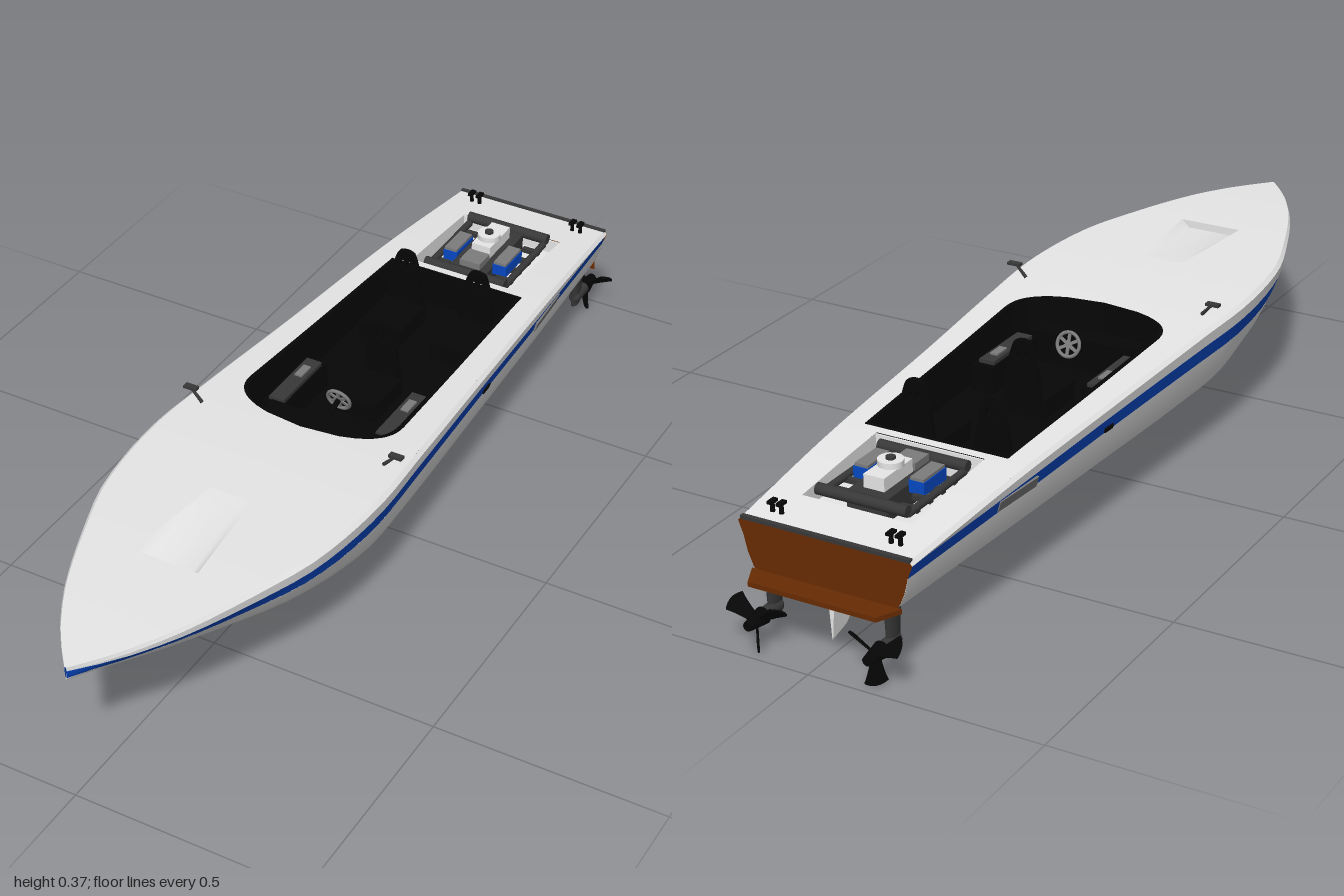
import * as THREE from 'three';

const mat = (name, color) => {
  const m = new THREE.MeshStandardMaterial({ color, side: THREE.DoubleSide });
  m.name = name;
  return m;
};

export function createModel() {
  const boat = new THREE.Group();
  boat.name = 'speedboat';
  const white = mat('white gelcoat', 0xf2f2f2), blue = mat('blue stripe', 0x0648c4);
  const black = mat('black trim', 0x060606), dark = mat('dark grey metal', 0x383838);
  const grey = mat('grey metal', 0x7c7c7c), wood = mat('brown wood', 0x682b03);

  const add = (name, geo, material, x = 0, y = 0, z = 0, parent = boat) => {
    const m = new THREE.Mesh(geo, material);
    m.name = name;
    m.position.set(x, y, z);
    parent.add(m);
    return m;
  };
  const box = (name, material, w, h, d, x, y, z, parent) =>
    add(name, new THREE.BoxGeometry(w, h, d), material, x, y, z, parent);
  const shapeOf = (pts) => new THREE.Shape(pts.map((p) => new THREE.Vector2(...p)));

  // Smooth interpolation through [z, value] pairs
  const curve = (pts) => (z) => {
    let i = 0;
    while (i < pts.length - 2 && z > pts[i + 1][0]) i++;
    const slope = (k) => {
      const a = pts[Math.max(k - 1, 0)], b = pts[Math.min(k + 1, pts.length - 1)];
      return (b[1] - a[1]) / (b[0] - a[0]);
    };
    const [z0, v0] = pts[i], [z1, v1] = pts[i + 1], d = z1 - z0;
    const t = Math.min(1, Math.max(0, (z - z0) / d)), u = 1 - t;
    return v0 * (1 + 2 * t) * u * u + slope(i) * d * t * u * u
      + v1 * t * t * (3 - 2 * t) - slope(i + 1) * d * t * t * u;
  };
  const width = curve([[-0.93, 0.19], [-0.6, 0.212], [-0.2, 0.236], [0.1, 0.256], [0.3, 0.266],
    [0.5, 0.245], [0.65, 0.197], [0.8, 0.136], [0.9, 0.08], [0.96, 0.036], [1, 0.002]]);
  const sheer = curve([[-0.93, 0.25], [-0.6, 0.28], [-0.2, 0.3], [0.2, 0.321], [0.5, 0.327], [0.8, 0.327], [1, 0.322]]);
  const stripeTop = curve([[-0.93, 0.24], [0, 0.278], [0.3, 0.288], [0.6, 0.298], [1, 0.313]]);
  const stripeLow = curve([[-0.93, 0.214], [0, 0.244], [0.3, 0.252], [0.6, 0.268], [1, 0.296]]);
  const stripeIn = curve([[-0.93, 0.945], [0.4, 0.945], [0.7, 0.88], [0.9, 0.74], [1, 0.55]]);
  const bottom = curve([[-0.93, 0.131], [-0.3, 0.131], [0.15, 0.132], [0.3, 0.143], [0.5, 0.17], [0.7, 0.212], [0.85, 0.25], [1, 0.291]]);
  const flat = curve([[-0.93, 0.68], [0.1, 0.68], [0.3, 0.62], [0.5, 0.42], [0.7, 0.25], [1, 0.12]]);
  const chine = curve([[-0.93, 0.84], [0.2, 0.84], [0.5, 0.75], [0.8, 0.58], [1, 0.35]]);

  // Surface through cross-sections spaced along z
  const loft = (name, material, z0, z1, section, n = 40) => {
    const pos = [], idx = [];
    let cols = 0;
    for (let i = 0; i <= n; i++) {
      const z = z0 + (z1 - z0) * i / n, pts = section(z);
      cols = pts.length;
      pts.forEach(([x, y]) => pos.push(x, y, z));
    }
    for (let i = 0; i < n; i++) for (let j = 0; j < cols - 1; j++) {
      const a = i * cols + j, b = a + cols;
      idx.push(a, a + 1, b, a + 1, b + 1, b);
    }
    const g = new THREE.BufferGeometry();
    g.setAttribute('position', new THREE.Float32BufferAttribute(pos, 3));
    g.setIndex(idx);
    g.computeVertexNormals();
    return add(name, g, material);
  };

  // Lower hull, from stripe to keel and up the other side
  const lower = (z) => {
    const w = width(z), b = bottom(z), h = stripeLow(z) - b, c = chine(z), f = flat(z), s = stripeIn(z);
    const half = [[w * s, b + h], [w * (c * 0.4 + s * 0.6), b + h * 0.6], [w * c, b + h * 0.25],
      [w * (c + f) / 2, b + h * 0.07], [w * f, b], [w * f / 2, b]];
    return [...half.map(([x, y]) => [-x, y]), [0, b], ...half.slice().reverse()];
  };
  loft('lowerHull', white, -0.93, 1, lower, 60);

  // Cockpit outline narrowing to a rounded front
  const cockpit = (z) => z > 0.04 ? 0.182 * Math.sqrt(Math.max(0, 1 - ((z - 0.04) / 0.11) ** 2.6))
    : 0.182 - (0.04 - z) * 0.035;
  // Foredeck duct, widening and deepening forward
  const duct = (z) => 0.048 + 0.1 * (z - 0.42);
  const floorY = 0.2;
  const deckParts = [[-0.93, -0.82, () => 0, 3], [-0.82, -0.56, () => 0.122, 6], [-0.56, -0.54, () => 0, 1],
    [-0.54, 0.15, cockpit, 70], [0.15, 0.42, () => 0, 14], [0.42, 0.66, duct, 12], [0.66, 1, () => 0, 20]];
  for (const s of [1, -1]) {
    loft('sideStripe', blue, -0.93, 1, (z) => [[s * width(z) * stripeIn(z), stripeLow(z)], [s * width(z) * 0.985, stripeTop(z)]]);
    loft('topside', white, -0.93, 1, (z) => [[s * width(z) * 0.985, stripeTop(z)], [s * width(z), sheer(z) - 0.008]]);
    loft('gunwale', white, -0.93, 1, (z) => [[s * width(z), sheer(z) - 0.008], [s * width(z) * 0.965, sheer(z)]]);
    for (const [a, b, inner, n] of deckParts)
      loft('deck', white, a, b, (z) => [[s * width(z) * 0.965, sheer(z)], [s * inner(z), sheer(z)]], n);
    loft('cockpitWall', black, -0.54, 0.15, (z) => [[s * cockpit(z), sheer(z) + 0.002], [s * cockpit(z) * 0.97, floorY]], 70);
    loft('cockpitRim', black, -0.54, 0.15, (z) => [[s * cockpit(z), sheer(z) + 0.002], [s * cockpit(z) * 0.95, sheer(z) + 0.002]], 70);
    loft('engineBayWall', white, -0.82, -0.56, (z) => [[s * 0.122, sheer(z)], [s * 0.122, 0.225]], 4);

    // Side vent and small side port
    const vent = box('sideVent', grey, 0.007, 0.024, 0.13, s * 0.205, 0.238, -0.58);
    vent.rotation.set(0, s * 0.07, -s * 0.3);
    const port = box('sidePort', black, 0.006, 0.01, 0.03, s * 0.224, 0.243, -0.25);
    port.rotation.set(0, s * 0.06, -s * 0.3);
    // Mirror on a slanted stalk
    const stalk = add('mirrorStalk', new THREE.CylinderGeometry(0.003, 0.004, 0.035, 8), dark, s * 0.225, 0.338, 0.185);
    stalk.rotation.z = -s * 0.75;
    box('mirrorHead', dark, 0.03, 0.006, 0.014, s * 0.24, 0.353, 0.183);
    // Stern cleats
    for (const x of [0.12, 0.14]) {
      add('cleatPost', new THREE.CylinderGeometry(0.004, 0.005, 0.02, 8), black, s * x, 0.264, -0.89);
      box('cleatTop', black, 0.011, 0.006, 0.022, s * x, 0.275, -0.89);
    }
    // Side consoles in the cockpit
    box('sideConsole', black, 0.05, 0.06, 0.19, s * 0.13, 0.23, -0.05);
    box('consolePanel', dark, 0.036, 0.008, 0.16, s * 0.128, 0.264, -0.05);
    box('consoleGauge', grey, 0.018, 0.006, 0.04, s * 0.128, 0.269, -0.08);
  }
  loft('cockpitFloor', black, -0.54, 0.15, (z) => [[cockpit(z), floorY], [-cockpit(z), floorY]], 70);
  box('cockpitBulkhead', black, 0.324, 0.088, 0.006, 0, 0.242, -0.537);
  const ductSection = (z) => {
    const y = sheer(z), x = duct(z), d = (z - 0.42) * 0.07;
    return [[x, y], [x - 0.018, y - d], [0, y - d], [0.018 - x, y - d], [-x, y]];
  };
  loft('foredeckDuct', white, 0.42, 0.66, ductSection, 12);
  add('ductFront', new THREE.ShapeGeometry(shapeOf(ductSection(0.66))), white, 0, 0, 0.66);

  // Transom, closing the stern, with trim and swim step
  const outline = [...lower(-0.93), [0.19, 0.242], [0.183, 0.25], [-0.183, 0.25], [-0.19, 0.242]];
  add('transom', new THREE.ShapeGeometry(shapeOf(outline)), wood, 0, 0, -0.931);
  box('sternTrim', dark, 0.37, 0.007, 0.01, 0, 0.25, -0.927);
  const step = shapeOf([[-0.165, 0.93], [-0.14, 0.98], [0.14, 0.98], [0.165, 0.93]]);
  const stepMesh = add('swimStep', new THREE.ExtrudeGeometry(step, { depth: 0.01, bevelEnabled: false }), wood, 0, 0.138, 0);
  stepMesh.rotation.x = -Math.PI / 2;

  // Seats with slotted, tapered backs
  const back = new THREE.Shape();
  back.moveTo(-0.048, 0);
  back.lineTo(-0.034, 0.11);
  back.quadraticCurveTo(-0.026, 0.15, -0.018, 0.164);
  back.quadraticCurveTo(0, 0.174, 0.018, 0.164);
  back.quadraticCurveTo(0.026, 0.15, 0.034, 0.11);
  back.lineTo(0.048, 0);
  for (const s of [1, -1])
    back.holes.push(shapeOf([[s * 0.004, 0.128], [s * 0.015, 0.128], [s * 0.012, 0.145], [s * 0.005, 0.145]]));
  for (const [x, z] of [[0, -0.205], [0.088, -0.475], [-0.088, -0.475]]) {
    const seat = new THREE.Group();
    seat.name = 'seat';
    seat.position.set(x, floorY, z);
    boat.add(seat);
    add('seatBack', new THREE.ExtrudeGeometry(back, { depth: 0.012, bevelEnabled: false }), black, 0, 0, 0, seat);
    box('seatCushion', black, 0.1, 0.04, 0.12, 0, 0.02, 0.07, seat);
  }

  // Dashboard and steering wheel
  box('dashboard', black, 0.26, 0.07, 0.05, 0, 0.24, 0.07);
  const wheel = new THREE.Group();
  wheel.name = 'steeringWheel';
  wheel.position.set(0, 0.285, -0.01);
  wheel.rotation.x = 0.3;
  boat.add(wheel);
  add('wheelRim', new THREE.TorusGeometry(0.026, 0.004, 8, 28), grey, 0, 0, 0, wheel);
  for (let i = 0; i < 3; i++) {
    const spoke = box('wheelSpoke', grey, 0.007, 0.05, 0.003, 0, 0, 0, wheel);
    spoke.rotation.z = i * Math.PI / 3;
  }
  const column = add('steeringColumn', new THREE.CylinderGeometry(0.006, 0.006, 0.06, 10), black, 0, 0, 0.033, wheel);
  column.rotation.x = Math.PI / 2;

  // Engine in its white-lined bay
  box('engineBayFloor', white, 0.244, 0.006, 0.26, 0, 0.225, -0.69);
  for (const [z, y] of [[-0.818, 0.242], [-0.562, 0.253]])
    box('engineBayEnd', white, 0.244, (y - 0.225) * 2, 0.004, 0, y, z);
  box('engineBlock', dark, 0.09, 0.05, 0.19, 0, 0.25, -0.69);
  box('intakeManifold', white, 0.046, 0.03, 0.1, 0, 0.288, -0.71);
  box('gearHousing', grey, 0.05, 0.02, 0.05, 0, 0.28, -0.63);
  const filter = add('airFilter', new THREE.CylinderGeometry(0.026, 0.026, 0.014, 20), white, 0, 0.308, -0.7);
  add('filterCap', new THREE.CylinderGeometry(0.01, 0.01, 0.006, 12), dark, 0, 0.009, 0, filter);
  for (const z of [-0.8, -0.585]) {
    const pipe = add('crossPipe', new THREE.CylinderGeometry(0.012, 0.012, 0.2, 14), dark, 0, 0.272, z);
    pipe.rotation.z = Math.PI / 2;
  }
  for (const s of [1, -1]) {
    box('rockerCover', blue, 0.034, 0.026, 0.08, s * 0.062, 0.272, -0.67);
    box('rockerLid', grey, 0.03, 0.006, 0.076, s * 0.062, 0.288, -0.67);
    const exhaust = add('exhaustPipe', new THREE.CylinderGeometry(0.008, 0.008, 0.2, 12), dark, s * 0.094, 0.262, -0.69);
    exhaust.rotation.x = Math.PI / 2;
    for (let i = 0; i < 4; i++) box('exhaustRunner', dark, 0.04, 0.01, 0.012, s * 0.078, 0.256, -0.76 + i * 0.045);
  }

  // Centre skeg, thinning downward
  const fin = shapeOf([[0.78, 0.135], [0.87, 0.045], [0.915, 0.032], [0.915, 0.135]]);
  const finGeo = new THREE.ExtrudeGeometry(fin, { depth: 0.016, bevelEnabled: false }).translate(0, 0, -0.008);
  const fp = finGeo.attributes.position;
  for (let i = 0; i < fp.count; i++) fp.setZ(i, fp.getZ(i) * (0.1 + (fp.getY(i) - 0.032) * 9));
  finGeo.computeVertexNormals();
  add('skeg', finGeo, white).rotation.y = Math.PI / 2;

  // Two drives with three-bladed propellers
  const blade = new THREE.Shape();
  blade.moveTo(-0.01, 0.01);
  blade.quadraticCurveTo(-0.014, 0.035, -0.023, 0.057);
  blade.quadraticCurveTo(0, 0.073, 0.023, 0.057);
  blade.quadraticCurveTo(0.014, 0.035, 0.01, 0.01);
  const bladeGeo = new THREE.ExtrudeGeometry(blade, { depth: 0.004, bevelEnabled: false, curveSegments: 8 }).translate(0, 0, -0.002);
  for (const s of [1, -1]) {
    const drive = new THREE.Group();
    drive.name = 'drive';
    drive.position.set(s * 0.131, 0.065, -0.97);
    boat.add(drive);
    const leg = add('driveLeg', new THREE.CylinderGeometry(0.011, 0.008, 0.1, 14), dark, 0, 0.03, 0.06, drive);
    leg.scale.z = 2.3;
    const pod = add('drivePod', new THREE.CapsuleGeometry(0.014, 0.06, 6, 14), dark, 0, 0, 0.035, drive);
    pod.rotation.x = Math.PI / 2;
    const hub = add('propellerHub', new THREE.CylinderGeometry(0.018, 0.01, 0.05, 16), black, 0, 0, -0.005, drive);
    hub.rotation.x = Math.PI / 2;
    for (let i = 0; i < 3; i++) {
      const arm = new THREE.Group();
      arm.name = 'propellerBlade';
      arm.rotation.z = Math.PI + i * Math.PI * 2 / 3;
      drive.add(arm);
      add('blade', bladeGeo, black, 0, 0, 0, arm).rotation.y = s * 0.9;
    }
  }
  return boat;
}
